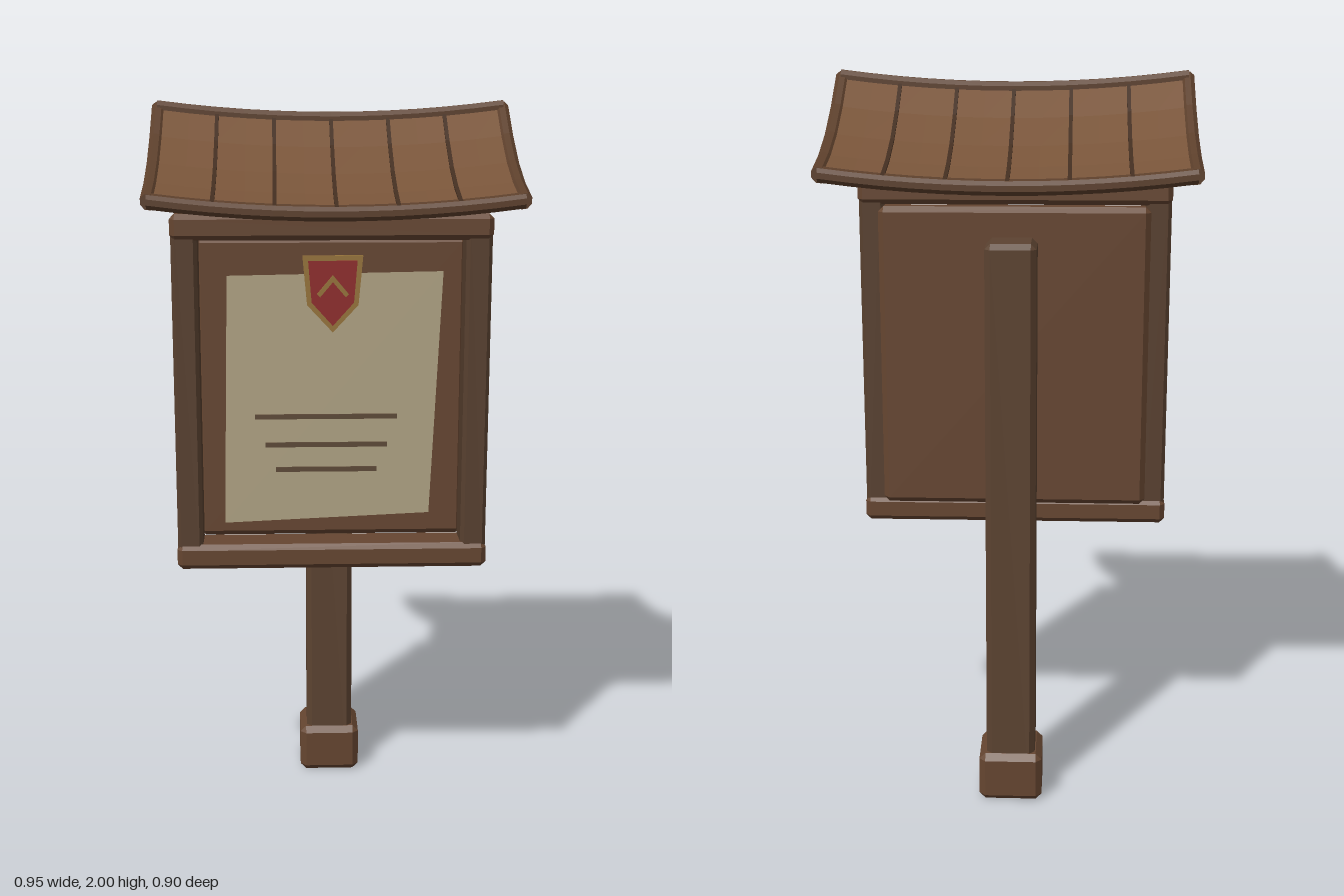
import * as THREE from 'three';
import { ConvexGeometry } from 'three/addons/geometries/ConvexGeometry.js';

const mat = (color, side = THREE.FrontSide) =>
  new THREE.MeshStandardMaterial({ color, side, flatShading: true });
const postWood = mat(0x5c4331), frameWood = mat(0x58402f), railWood = mat(0x664631);
const plankWood = mat(0x785439), trimWood = mat(0x5c3f2b), seamWood = mat(0x432e20);
const gold = mat(0x96733a), red = mat(0x8f2a2a), ink = mat(0x5e4a38);
const paper = mat(0xb0a384, THREE.DoubleSide);

// Box with every edge cut off by c
function chamferBox(w, h, d, c) {
  const points = [], half = [w / 2, h / 2, d / 2];
  for (const sx of [-1, 1]) for (const sy of [-1, 1]) for (const sz of [-1, 1])
    for (let face = 0; face < 3; face++) {
      const p = half.map((v, i) => (i === face ? v : v - c));
      points.push(new THREE.Vector3(sx * p[0], sy * p[1], sz * p[2]));
    }
  return new ConvexGeometry(points);
}

// Roof centre line: concave slope from ridge to eave, dipping mid-span
const slope = [1.946, 1.868, 1.806, 1.764, 1.737];
function roofY(x, z) {
  const t = Math.min(Math.abs(z) / 0.11, 3.9999), i = Math.floor(t);
  return THREE.MathUtils.lerp(slope[i], slope[i + 1], t - i) + 0.03 * (x / 0.46) ** 2;
}
function bendToRoof(geometry) {
  const p = geometry.attributes.position;
  for (let i = 0; i < p.count; i++) p.setY(i, p.getY(i) + roofY(p.getX(i), p.getZ(i)));
  geometry.computeVertexNormals();
  return geometry;
}

// Eight-sided bar, lying along z
function bar(length, radius, segments) {
  return new THREE.CylinderGeometry(radius, radius, length, 8, segments)
    .rotateY(Math.PI / 8).rotateX(Math.PI / 2);
}

function plate(points, depth) {
  const shape = new THREE.Shape(points.map(([x, y]) => new THREE.Vector2(x, y)));
  return depth
    ? new THREE.ExtrudeGeometry(shape, { depth, bevelEnabled: false })
    : new THREE.ShapeGeometry(shape);
}

export function createModel() {
  const model = new THREE.Group();
  model.name = 'noticeBoard';
  const group = (name) => {
    const g = new THREE.Group();
    g.name = name;
    model.add(g);
    return g;
  };
  const add = (parent, name, geometry, material, x = 0, y = 0, z = 0) => {
    const mesh = new THREE.Mesh(geometry, material);
    mesh.name = name;
    mesh.position.set(x, y, z);
    parent.add(mesh);
    return mesh;
  };

  // Post with foot block and peg
  const stand = group('stand');
  add(stand, 'post', chamferBox(0.135, 1.565, 0.14, 0.015), postWood, 0, 0.7925, -0.2);
  add(stand, 'foot', chamferBox(0.175, 0.14, 0.175, 0.017), railWood, 0, 0.07, -0.2);
  add(stand, 'peg', chamferBox(0.044, 0.044, 0.022, 0.006), gold, 0, 0.7, -0.118);

  // Framed board
  const board = group('board');
  add(board, 'backPanel', chamferBox(0.74, 0.84, 0.07, 0.015), railWood, 0, 1.22, 0);
  for (const s of [-1, 1]) {
    add(board, 'stile', chamferBox(0.07, 0.95, 0.1, 0.01), frameWood, s * 0.393, 1.22, 0.07);
    add(board, 'rail', chamferBox(0.86, 0.07, 0.12, 0.014), railWood, 0, 1.22 + s * 0.455, 0.07);
  }

  // Crooked sheet with ruled lines
  const notice = group('notice');
  add(notice, 'sheet', plate([[-0.295, 0.87], [0.265, 0.895], [0.295, 1.56], [-0.28, 1.55]]),
    paper, 0, 0, 0.139);
  [[-0.017, 1.168, 0.385], [-0.017, 1.09, 0.33], [-0.017, 1.021, 0.275]].forEach(([x, y, w]) =>
    add(notice, 'ruledLine', new THREE.BoxGeometry(w, 0.013, 0.006), ink, x, y, 0.141));

  // Shield badge with a raised chevron and its pin
  const badge = group('badge');
  add(badge, 'shieldRim',
    plate([[-0.08, 1.605], [-0.068, 1.475], [0, 1.402], [0.068, 1.475], [0.08, 1.605]], 0.012),
    gold, 0, 0, 0.156);
  add(badge, 'shieldFace',
    plate([[-0.065, 1.592], [-0.056, 1.482], [0, 1.42], [0.056, 1.482], [0.065, 1.592]], 0.004),
    red, 0, 0, 0.167);
  add(badge, 'chevron',
    plate([[-0.042, 1.505], [-0.034, 1.497], [0, 1.537], [0.034, 1.497], [0.042, 1.505], [0, 1.555]], 0.01),
    gold, 0, 0, 0.169);
  add(badge, 'pin', new THREE.CylinderGeometry(0.014, 0.014, 0.02, 8).rotateX(Math.PI / 2),
    gold, 0, 1.525, 0.149);

  // Curved roof: slab, seams, and edge bars
  const roof = group('roof');
  add(roof, 'roofSlab', bendToRoof(new THREE.BoxGeometry(0.9, 0.026, 0.88, 12, 1, 8)), plankWood);
  for (let i = -2; i <= 2; i++) {
    const seam = new THREE.BoxGeometry(0.01, 0.008, 0.88, 1, 1, 8).translate(i * 0.151, 0.014, 0);
    add(roof, 'seam', bendToRoof(seam), seamWood);
  }
  for (const s of [-1, 1]) {
    add(roof, 'gableBar', bendToRoof(bar(0.88, 0.02, 8).translate(s * 0.456, 0, 0)), trimWood);
    const eave = bar(0.92, 0.019, 12).rotateY(Math.PI / 2).translate(0, 0, s * 0.433);
    add(roof, 'eaveBar', bendToRoof(eave), trimWood);
  }
  // Ridge is bent along its length only
  const ridge = bar(0.92, 0.021, 12).rotateY(Math.PI / 2);
  const p = ridge.attributes.position;
  for (let i = 0; i < p.count; i++) p.setY(i, p.getY(i) + roofY(p.getX(i), 0) + 0.003);
  ridge.computeVertexNormals();
  add(roof, 'ridgeBar', ridge, trimWood);

  return model;
}
